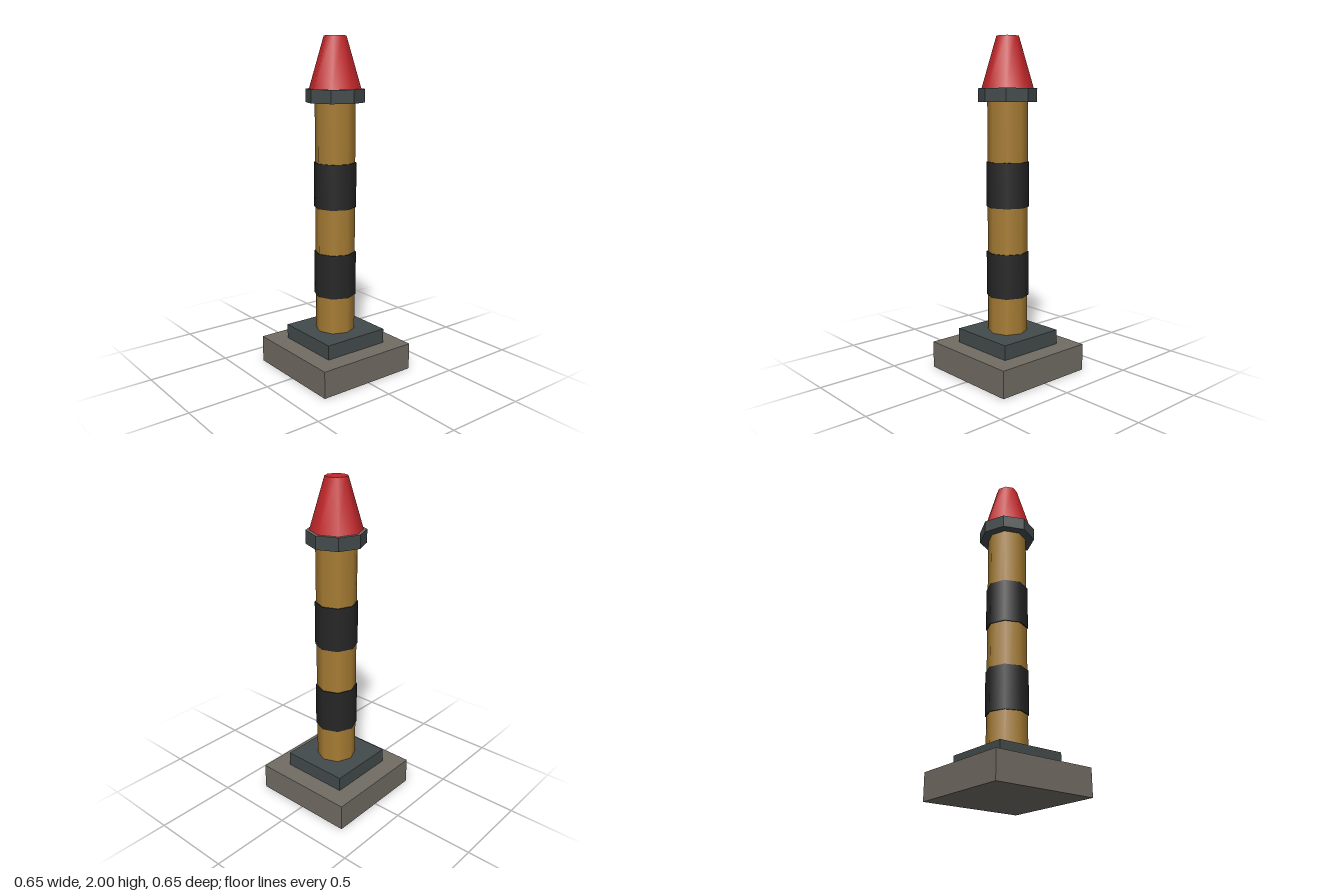
import * as THREE from 'three';

const paint = (name, color, flatShading = false) => {
  const m = new THREE.MeshStandardMaterial({ color, flatShading });
  m.name = name;
  return m;
};

export function createModel() {
  const stone = paint('stone', 0x716c63);
  const slate = paint('slate', 0x434a4b);
  const ochre = paint('ochre', 0xa67c33);
  const black = paint('black', 0x262626);
  const red = paint('red', 0xc2282b);

  const group = new THREE.Group();
  group.name = 'bollard';

  const add = (name, geometry, material, y0, y1) => {
    const mesh = new THREE.Mesh(geometry, material);
    mesh.name = name;
    mesh.position.y = (y0 + y1) / 2;
    group.add(mesh);
  };
  const block = (name, size, y0, y1, material) =>
    add(name, new THREE.BoxGeometry(size, y1 - y0, size), material, y0, y1);
  // Eight-sided drum with corners on the x and z axes
  const drum = (name, rTop, rBottom, y0, y1, material, faceted = false) => {
    let geometry = new THREE.CylinderGeometry(rTop, rBottom, y1 - y0, 8);
    if (faceted) {
      const groups = geometry.groups;
      geometry = geometry.toNonIndexed();
      geometry.computeVertexNormals();
      geometry.groups = groups;
    }
    add(name, geometry, material, y0, y1);
  };

  // Stepped square base
  block('base', 0.648, 0, 0.162, stone);
  block('plinth', 0.422, 0.162, 0.25, slate);

  // Post with two dark bands
  drum('post', 0.119, 0.119, 0.25, 1.63, ochre);
  drum('lowerBand', 0.126, 0.126, 0.47, 0.737, black);
  drum('upperBand', 0.126, 0.126, 1.01, 1.277, black);

  // Collar with a stone top face, then the blunt cap
  drum('collar', 0.172, 0.172, 1.625, 1.703, [slate, stone, slate], true);
  drum('cap', 0.065, 0.152, 1.703, 2, red);

  return group;
}
